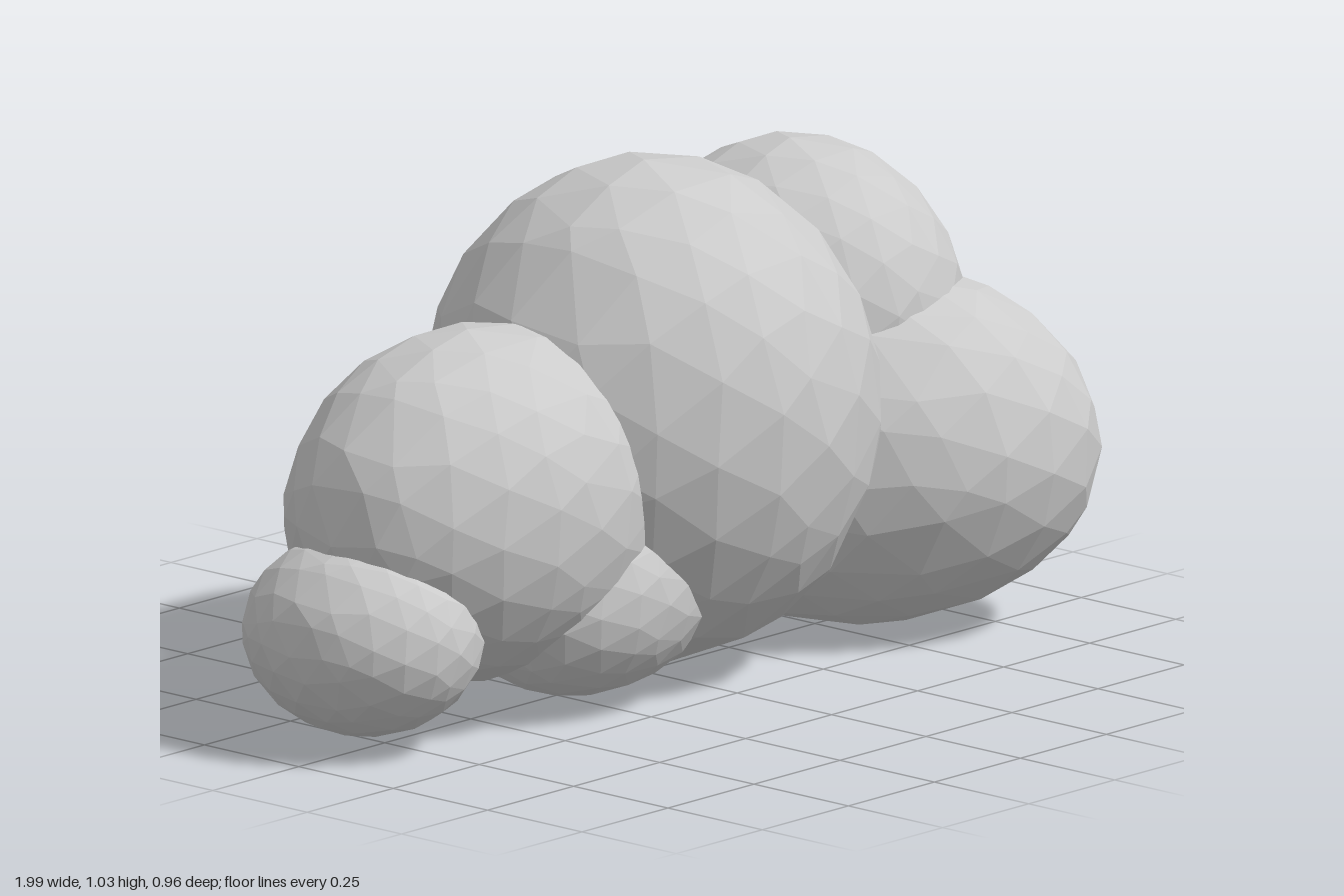
import * as THREE from 'three';

const material = new THREE.MeshStandardMaterial({ color: 0xcccccc, flatShading: true });

// Repeatable value in -1..1 from a position, so coincident corners move together
function hash(x, y, z, k) {
  const r = (v) => Math.round(v * 1000);
  const s = Math.sin(r(x) * 0.129 + r(y) * 0.782 + r(z) * 0.377 + k * 4.7) * 437.585;
  return (s - Math.floor(s)) * 2 - 1;
}

// Faceted ellipsoid with slightly uneven facets
function puff(name, center, radii, yaw = 0) {
  const geometry = new THREE.IcosahedronGeometry(1, 3);
  const pos = geometry.attributes.position;
  const v = new THREE.Vector3();
  for (let i = 0; i < pos.count; i++) {
    v.fromBufferAttribute(pos, i);
    const shift = [0, 1, 2].map((k) => 0.05 * hash(v.x, v.y, v.z, k));
    v.set(v.x + shift[0], v.y + shift[1], v.z + shift[2]).setLength(1.007);
    pos.setXYZ(i, v.x, v.y, v.z);
  }
  geometry.scale(...radii);
  geometry.rotateY(yaw);
  geometry.computeVertexNormals();
  const mesh = new THREE.Mesh(geometry, material);
  mesh.name = name;
  mesh.position.set(...center);
  return mesh;
}

export function createModel() {
  const cloud = new THREE.Group();
  cloud.name = 'cloud';
  cloud.add(
    puff('centralPuff', [0.05, 0.52, -0.025], [0.45, 0.5, 0.455]),
    // Lower left puff is long and turned outwards
    puff('lowerLeftPuff', [0.58, 0.36, 0.03], [0.365, 0.36, 0.485], 0.62),
    puff('upperLeftPuff', [0.55, 0.61, -0.1], [0.315, 0.345, 0.35]),
    puff('rightPuff', [-0.46, 0.425, -0.03], [0.42, 0.35, 0.325]),
    puff('lowerFrontPuff', [-0.25, 0.23, 0.07], [0.3, 0.21, 0.22]),
    puff('smallRightPuff', [-0.78, 0.22, -0.03], [0.22, 0.2, 0.25])
  );
  return cloud;
}
